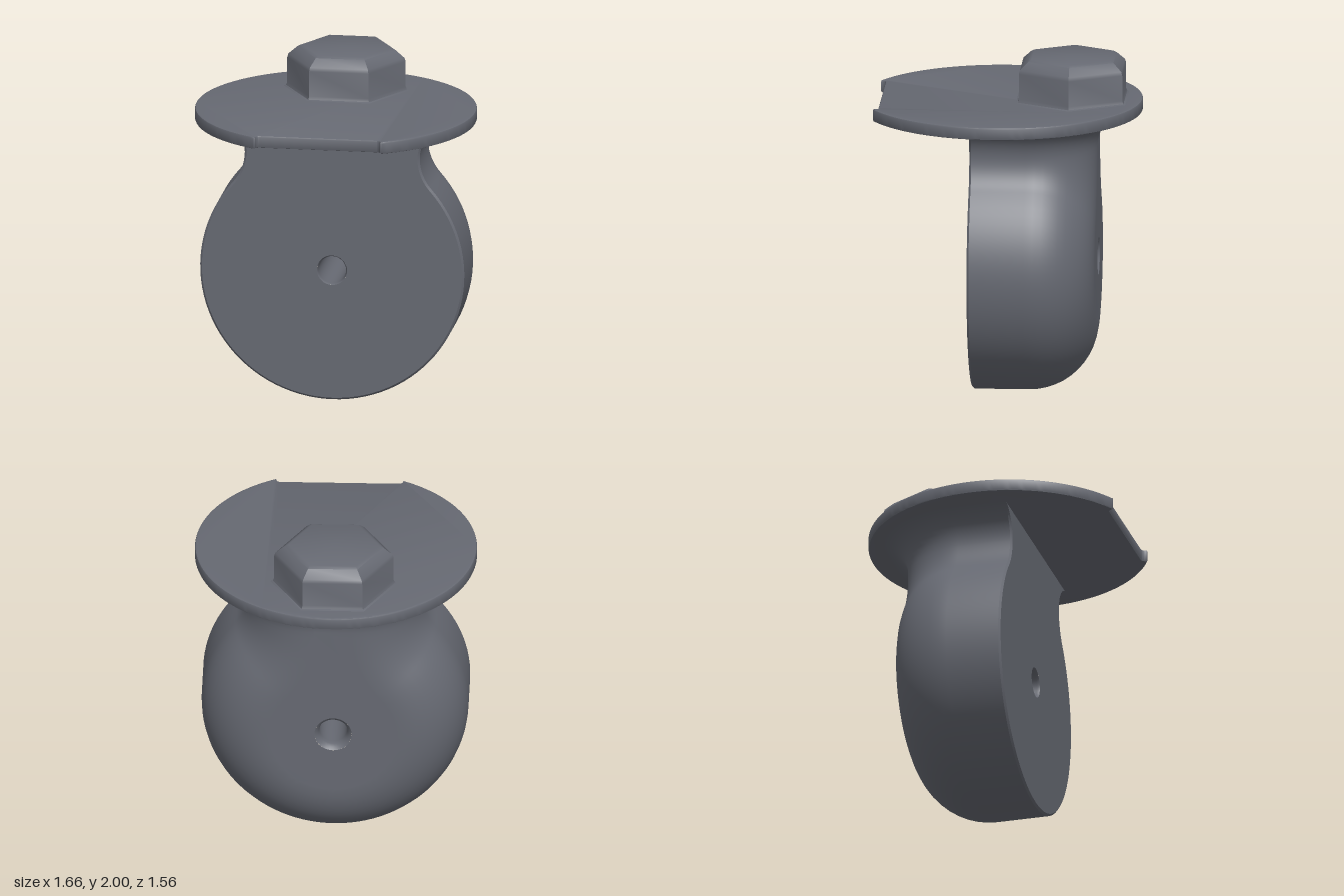
import * as THREE from 'three';
import { mergeGeometries, toCreasedNormals } from 'three/addons/utils/BufferGeometryUtils.js';

const metal = new THREE.MeshStandardMaterial({ color: 0x666972 });
metal.name = 'dark grey metal';

const FRONT = 0.2, BACK = -0.53, ROUND = 0.4, HUB = 0.785;

// Half outline of the body, bottom to top: point, outward normal and flare
function halfOutline() {
  const rows = [];
  const meet = Math.atan2(0.705, 0.805);
  for (let i = 0; i <= 36; i++) { // round lower part
    const a = -Math.PI / 2 + (meet + Math.PI / 2) * i / 36;
    const nx = i ? Math.cos(a) : 0, ny = Math.sin(a);
    rows.push({ x: HUB * nx, y: HUB + HUB * ny, nx, ny, f: 0 });
  }
  for (let i = 1; i <= 12; i++) { // concave neck
    const a = meet * (1 - i / 12);
    const nx = Math.cos(a), ny = Math.sin(a);
    rows.push({ x: 0.805 - 0.285 * nx, y: 1.49 - 0.285 * ny, nx, ny, f: 0 });
  }
  for (let i = 1; i <= 10; i++) { // flare up to the plate
    const t = Math.PI / 2 * i / 10;
    rows.push({ x: 0.52, y: 1.49 + 0.185 * Math.sin(t), nx: 1, ny: 0, f: 0.175 * (1 - Math.cos(t)) });
  }
  return rows;
}

// Section of one row from the front edge round to the flat back
function section({ x, y, nx, ny, f }) {
  const at = (off, z) => [x + nx * off, y + ny * off, z];
  const pts = [at(f - 0.012, FRONT), at(f, FRONT - 0.012)];
  for (let k = 0; k <= 12; k++) {
    const a = Math.PI / 2 * k / 12, r = ROUND + f;
    pts.push(at(-ROUND + r * Math.cos(a), BACK + ROUND - r * Math.sin(a)));
  }
  pts.push(at(-ROUND - 0.01, BACK - f));
  return pts;
}

function faceWithHole(ring, holeRadius) {
  const shape = new THREE.Shape(ring.map(p => new THREE.Vector2(p[0], p[1])));
  const hole = new THREE.Path();
  hole.absarc(0, HUB + 0.005, holeRadius, 0, Math.PI * 2, true);
  shape.holes.push(hole);
  return new THREE.ShapeGeometry(shape, 32);
}

function bodyGeometry() {
  const right = halfOutline();
  const left = right.slice(1).reverse().map(r => ({ ...r, x: -r.x, nx: -r.nx }));
  const rows = [...left, ...right];
  const grid = rows.map(section);
  const pos = [];
  const quad = (a, b, c, d) => pos.push(...a, ...b, ...c, ...c, ...b, ...d);
  // Rim and rounded back edge
  for (let i = 0; i < grid.length - 1; i++) {
    for (let k = 0; k < grid[i].length - 1; k++) {
      quad(grid[i][k], grid[i][k + 1], grid[i + 1][k], grid[i + 1][k + 1]);
    }
  }
  // Back of the flare, between the two rounded edges
  const last = grid[0].length - 1, n = grid.length;
  for (let i = n - 11; i < n - 1; i++) {
    quad(grid[i][last], grid[n - 1 - i][last], grid[i + 1][last], grid[n - 2 - i][last]);
  }
  const shell = new THREE.BufferGeometry();
  shell.setAttribute('position', new THREE.Float32BufferAttribute(pos, 3));

  // Flat front and back faces
  const front = faceWithHole(grid.map(g => g[0]), 0.09).translate(0, 0, FRONT);
  const backRing = grid.filter((g, i) => rows[i].f === 0).map(g => g[last]);
  const back = faceWithHole(backRing, 0.11).rotateY(Math.PI).translate(0, 0, BACK);
  const parts = [shell, front, back].map(g => {
    const p = g.index ? g.toNonIndexed() : g;
    p.deleteAttribute('uv');
    p.deleteAttribute('normal');
    return p;
  });
  return toCreasedNormals(mergeGeometries(parts), 0.6);
}

// Axle hole wall with eased ends
function boreGeometry() {
  const profile = [[0.09, FRONT], [0.082, 0.185], [0.082, -0.47], [0.085, -0.495], [0.094, -0.517], [0.11, BACK]];
  return new THREE.LatheGeometry(profile.map(p => new THREE.Vector2(...p)), 32)
    .rotateX(Math.PI / 2).translate(0, HUB + 0.005, 0);
}

// Round plate with a straight cut between two small horns at the front
function plateGeometry() {
  const cz = -0.04, r = 0.829;
  const start = Math.atan2(-0.775 - cz, 0.383);
  const s = new THREE.Shape();
  s.absarc(0, cz, r, start, Math.PI - start, false);
  s.lineTo(-0.372, -0.775);
  s.quadraticCurveTo(-0.368, -0.747, -0.345, -0.747);
  s.lineTo(0.345, -0.747);
  s.quadraticCurveTo(0.368, -0.747, 0.372, -0.775);
  s.closePath();
  const g = new THREE.ExtrudeGeometry(s, {
    depth: 0.055, bevelThickness: 0.01, bevelSize: 0.01, bevelOffset: -0.01, bevelSegments: 2, curveSegments: 80,
  });
  g.rotateX(-Math.PI / 2).translate(0, 1.68, 0);
  return toCreasedNormals(g, 0.5);
}

// Six-sided bolt head with a chamfered top and a small fillet at the base
function headGeometry() {
  const profile = [[0.375, 1.744], [0.36, 1.75], [0.352, 1.768], [0.352, 1.92], [0.345, 1.942],
    [0.29, 1.989], [0.268, 2], [0, 2]];
  const g = new THREE.LatheGeometry(profile.map(p => new THREE.Vector2(...p)), 6);
  g.rotateY(Math.PI / 6).translate(0, 0, -0.375);
  return toCreasedNormals(g, 0.62);
}

export function createModel() {
  const model = new THREE.Group();
  model.name = 'mountedRoller';
  const add = (name, geometry) => {
    const mesh = new THREE.Mesh(geometry, metal);
    mesh.name = name;
    model.add(mesh);
  };
  add('roundBody', bodyGeometry());
  add('axleHole', boreGeometry());
  add('topPlate', plateGeometry());
  add('hexHead', headGeometry());
  return model;
}
